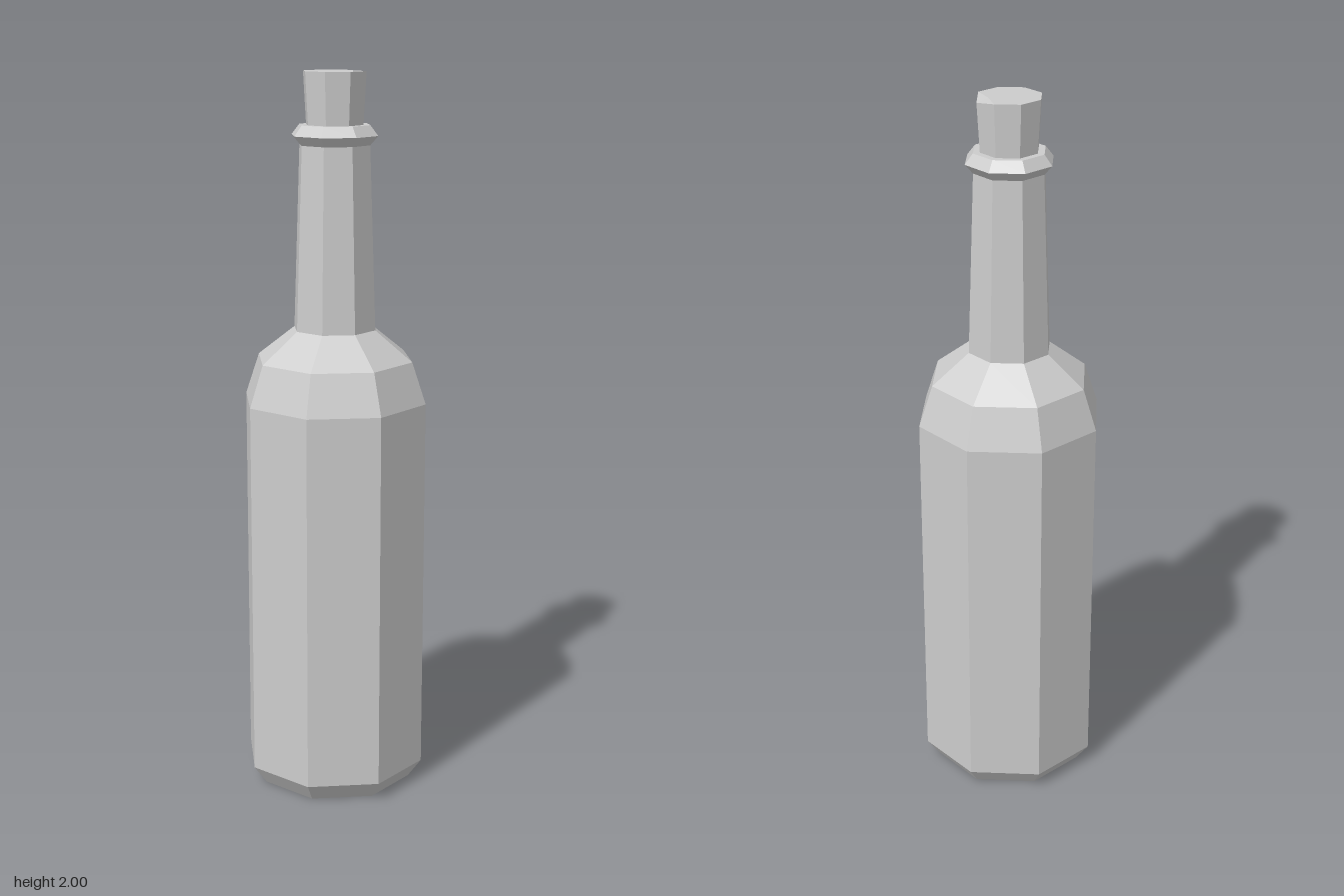
import * as THREE from 'three';

// Eight-sided turned part with flat facets; adjust(v) may move vertices
function facetedLathe(profile, adjust) {
  const points = profile.map(([r, y]) => new THREE.Vector2(r, y));
  const lathe = new THREE.LatheGeometry(points, 8);
  if (adjust) {
    const pos = lathe.attributes.position;
    const v = new THREE.Vector3();
    for (let i = 0; i < pos.count; i++) {
      adjust(v.fromBufferAttribute(pos, i));
      pos.setXYZ(i, v.x, v.y, v.z);
    }
  }
  const flat = lathe.toNonIndexed();
  flat.computeVertexNormals();
  return flat;
}

export function createModel() {
  const model = new THREE.Group();
  model.name = 'bottle';
  const grey = new THREE.MeshStandardMaterial({ color: 0xcccccc });
  grey.name = 'light grey';

  const add = (name, geometry) => {
    const mesh = new THREE.Mesh(geometry, grey);
    mesh.name = name;
    model.add(mesh);
  };

  // Bevelled base, straight body, shoulder, tapering neck and lip ring
  add('bottleGlass', facetedLathe([
    [0, 0], [0.222, 0], [0.26, 0.053], [0.26, 1.11], [0.221, 1.225],
    [0.116, 1.308], [0.099, 1.807], [0.121, 1.832], [0.099, 1.86], [0, 1.86],
  ]));

  // Stopper flaring upward, with a small dent in its rim on the +x side
  add('stopper', facetedLathe(
    [[0.08, 1.859], [0.088, 2], [0, 2]],
    (v) => {
      if (v.y < 1.99) return;
      if (Math.hypot(v.x, v.z) < 0.01) v.x = 0.057;
      else if (v.x > 0.08) v.y -= 0.01;
    },
  ));

  return model;
}
